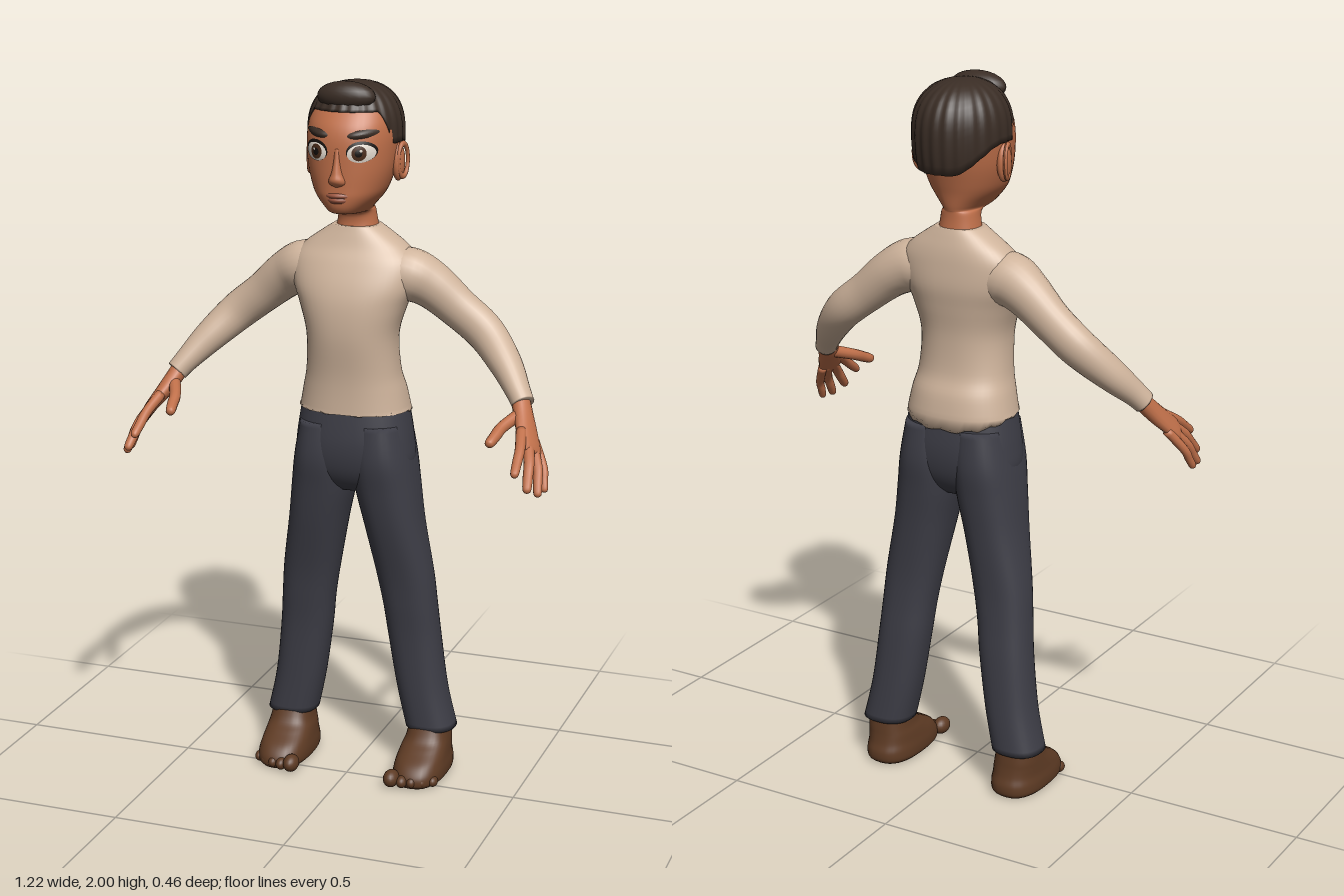
import * as THREE from 'three';

const paint = (name, color) => Object.assign(new THREE.MeshStandardMaterial({ color }), { name });

// Smooth (Catmull-Rom) sample through rows of numbers, t in 0..1
function sample(rows, t) {
  const n = rows.length - 1, f = Math.min(t * n, n - 1e-6), i = Math.floor(f), u = f - i;
  const row = (k) => rows[Math.max(0, Math.min(n, k))];
  const [a, b, c, d] = [row(i - 1), row(i), row(i + 1), row(i + 2)];
  return b.map((v, k) => v + 0.5 * u * (c[k] - a[k] + u * (2 * a[k] - 5 * v + 4 * c[k] - d[k]
    + u * (3 * (v - c[k]) + d[k] - a[k]))));
}

// Skins rings of points and closes both ends
function skin(rings) {
  const pos = [], idx = [], m = rings[0].length, n = rings.length;
  rings.forEach((r) => r.forEach((p) => pos.push(p.x, p.y, p.z)));
  for (let j = 0; j < n - 1; j++) for (let i = 0; i < m; i++) {
    const a = j * m + i, b = j * m + (i + 1) % m;
    idx.push(a, b, b + m, a, b + m, a + m);
  }
  [0, n - 1].forEach((j) => {
    const c = new THREE.Vector3();
    rings[j].forEach((p) => c.addScaledVector(p, 1 / m));
    const k = pos.length / 3;
    pos.push(c.x, c.y, c.z);
    for (let i = 0; i < m; i++) {
      const a = j * m + i, b = j * m + (i + 1) % m;
      j ? idx.push(a, b, k) : idx.push(b, a, k);
    }
  });
  const g = new THREE.BufferGeometry();
  g.setAttribute('position', new THREE.Float32BufferAttribute(pos, 3));
  g.setIndex(idx);
  g.computeVertexNormals();
  return g;
}

const pow = (v, e) => Math.sign(v) * Math.abs(v) ** e;

// Upright body: rows of [y, centre x, half width, front z, back z]
function loft(rows, { n = 2.2, steps = 32, seg = 36, hem = () => 0 } = {}) {
  const rings = [];
  for (let j = 0; j <= steps; j++) {
    const [y, cx, rx, zf, zb] = sample(rows, j / steps);
    rings.push(Array.from({ length: seg }, (_, i) => {
      const a = i / seg * Math.PI * 2;
      return new THREE.Vector3(cx + rx * pow(Math.sin(a), 2 / n),
        y + (j === 0 ? hem(a) : 0), (zf + zb) / 2 + (zf - zb) / 2 * pow(Math.cos(a), 2 / n));
    }));
  }
  return skin(rings);
}

// Limb along a path: rows of [x, y, z, radius along ref, radius across]
function limb(rows, ref = [0, 0, 1], steps = 20, seg = 16) {
  const rings = [], at = (t) => new THREE.Vector3(...sample(rows, t).slice(0, 3));
  for (let j = 0; j <= steps; j++) {
    const t = j / steps, r = sample(rows, t), c = at(t);
    const T = at(Math.min(1, t + 0.01)).sub(at(Math.max(0, t - 0.01))).normalize();
    const N = new THREE.Vector3(...ref);
    N.addScaledVector(T, -N.dot(T)).normalize();
    const B = T.clone().cross(N);
    rings.push(Array.from({ length: seg }, (_, i) => {
      const a = i / seg * Math.PI * 2;
      return c.clone().addScaledVector(N, r[3] * Math.cos(a)).addScaledVector(B, r[4] * Math.sin(a));
    }));
  }
  return skin(rings);
}

const ball = (x, y, z, rx, ry, rz) => new THREE.SphereGeometry(1, 20, 14).scale(rx, ry, rz).translate(x, y, z);

function mirrored(geo) {
  const g = geo.clone().scale(-1, 1, 1), ix = g.index.array;
  for (let i = 0; i < ix.length; i += 3) [ix[i], ix[i + 1]] = [ix[i + 1], ix[i]];
  g.computeVertexNormals();
  return g;
}

const HEAD = [[1.56, 0, .064, -.03, -.148], [1.61, 0, .054, -.037, -.143], [1.638, 0, .05, -.02, -.143],
  [1.646, 0, .05, .052, -.145], [1.66, 0, .062, .072, -.149], [1.69, 0, .088, .079, -.156],
  [1.72, 0, .103, .079, -.165], [1.77, 0, .117, .079, -.18], [1.83, 0, .123, .078, -.195],
  [1.87, 0, .122, .07, -.2], [1.9, 0, .117, .054, -.198], [1.93, 0, .105, .03, -.185],
  [1.96, 0, .08, -.01, -.16], [1.975, 0, .04, -.05, -.12]];

// Front surface of the face at x, y
function faceZ(x, y) {
  let best = null, err = 9;
  for (let t = 0.25; t <= 1; t += 0.002) {
    const s = sample(HEAD, t), e = Math.abs(s[0] - y);
    if (e < err) { err = e; best = s; }
  }
  const [, , rx, zf, zb] = best;
  return (zf + zb) / 2 + (zf - zb) / 2 * (1 - Math.min(1, Math.abs(x / rx)) ** 2.2) ** (1 / 2.2);
}

// Thin oval plate that follows the face
function patch(x, y, w, h, rot, off, dome = 0) {
  const g = new THREE.RingGeometry(0.001, 1, 24, 4).scale(w, h, 1).rotateZ(rot), p = g.attributes.position;
  for (let i = 0; i < p.count; i++) {
    const ring = Math.floor(i / 25) / 4, px = p.getX(i) + x, py = p.getY(i) + y;
    p.setXYZ(i, px, py, faceZ(px, py) + off + dome * (1 - ring * ring));
  }
  g.computeVertexNormals();
  return g;
}

// Ridged cap whose lower edge drops from forehead to nape
function hairCap() {
  const seg = 144, steps = 16, rings = [];
  const mix = THREE.MathUtils.smoothstep;
  for (let j = 0; j <= steps; j++) rings.push(Array.from({ length: seg }, (_, i) => {
    const a = i / seg * Math.PI * 2, b = Math.abs(a > Math.PI ? a - 2 * Math.PI : a);
    const low = 1.918 - 0.088 * mix(b, 0.85, 1.25) - 0.075 * mix(b, 1.7, 2.8);
    const v = Math.max(0, j - 1) / (steps - 1), top = 1.988;
    const h = low + (top - low) * Math.sin(v * Math.PI / 2);
    const d = h - 1.85, k = Math.min(1, Math.abs(d) / (d > 0 ? 0.138 : 0.2));
    let r = (1 - k ** 2.4) ** (1 / 2.4);
    r *= (1 + 0.014 * Math.cos(a * 24) * Math.min(1, r * 2)) * (j === 0 ? 0.86 : 1);
    const c = Math.cos(a);
    return new THREE.Vector3(0.13 * r * Math.sin(a), h, -0.075 + (c > 0 ? 0.135 : 0.152) * r * c);
  }));
  return skin(rings);
}

export function createModel() {
  const model = new THREE.Group();
  const skinTone = paint('skin', 0xc0704a), lip = paint('lips', 0x9a5640), hair = paint('hair', 0x3a2d25);
  const shirt = paint('shirt', 0xcfb49c), denim = paint('trousers', 0x3e3e47), brown = paint('feet', 0x5e3b24);
  const white = paint('eyeWhite', 0xe6ddd2), iris = paint('iris', 0x4a2c1a), black = paint('pupil', 0x15100d);

  const add = (name, geo, mat) => {
    const m = new THREE.Mesh(geo, mat);
    m.name = name;
    model.add(m);
  };
  const pair = (name, geo, mat) => {
    add(name + 'Left', geo, mat);
    add(name + 'Right', mirrored(geo), mat);
  };

  // Head and face
  add('headAndNeck', loft(HEAD, { steps: 60, seg: 48 }), skinTone);
  add('nose', loft([[1.722, 0, .008, .078, .05], [1.73, 0, .022, .09, .05], [1.742, 0, .023, .097, .05],
    [1.76, 0, .016, .093, .05], [1.79, 0, .011, .086, .05], [1.825, 0, .01, .079, .05]], { n: 2, seg: 20 }), skinTone);
  add('upperLip', patch(0, 1.699, .031, .008, 0, .002, .006), lip);
  add('lowerLip', patch(0, 1.687, .026, .009, 0, .002, .007), lip);
  pair('ear', ball(.122, 1.775, -.072, .017, .052, .027).rotateX(0), skinTone);
  pair('earRim', new THREE.TorusGeometry(1, .2, 8, 24).scale(.024, .044, .03).rotateY(Math.PI / 2 - .25)
    .translate(.134, 1.78, -.075), skinTone);
  pair('eyelid', patch(.063, 1.818, .037, .028, .1, .001, .003), black);
  pair('eye', patch(.063, 1.814, .034, .024, .1, .003, .004), white);
  pair('iris', patch(.06, 1.815, .018, .02, 0, .0065, .002), iris);
  pair('pupil', patch(.06, 1.815, .009, .01, 0, .009, .001), black);
  pair('eyeGlint', patch(.066, 1.822, .0035, .0035, 0, .0105), white);
  pair('eyebrow', patch(.064, 1.864, .037, .011, .14, .002, .007), hair);

  // Hair with a raised front
  add('hairCap', hairCap(), hair);
  add('hairFront', ball(0, 1.955, .002, .082, .04, .042), hair);

  // Shirt
  add('shirtBody', loft([[1.075, 0, .158, .042, -.197], [1.14, 0, .145, .041, -.185], [1.2, 0, .132, .044, -.164],
    [1.3, 0, .128, .056, -.159], [1.38, 0, .15, .054, -.168], [1.44, 0, .174, .04, -.175],
    [1.5, 0, .178, .014, -.171], [1.54, 0, .148, -.008, -.165], [1.575, 0, .1, -.022, -.155],
    [1.597, 0, .066, -.03, -.147]], { n: 2.3, seg: 48, steps: 44,
    hem: (a) => .018 * Math.cos(a) - .008 * Math.cos(2 * a) + .004 * Math.cos(14 * a) }), shirt);
  pair('sleeve', limb([[.09, 1.46, -.08, .07, .07], [.15, 1.465, -.085, .073, .075], [.21, 1.438, -.098, .062, .066],
    [.285, 1.378, -.106, .05, .057], [.365, 1.315, -.103, .048, .054], [.435, 1.245, -.06, .046, .045],
    [.485, 1.185, -.012, .036, .034], [.506, 1.157, .008, .033, .031]], [0, 0, 1], 36, 24), shirt);

  // Hands
  const across = [-.037, .035, .05];
  pair('palm', limb([[.492, 1.178, -.008, .026, .024], [.512, 1.135, .028, .031, .024], [.536, 1.093, .07, .038, .02],
    [.554, 1.064, .102, .039, .015], [.559, 1.054, .114, .028, .008]], across), skinTone);
  const fingers = [
    [[.524, 1.105, .085], [.538, 1.072, .145], [.545, 1.018, .225], .014],
    [[.54, 1.085, .08], [.562, 1.04, .14], [.575, .972, .205], .0145],
    [[.548, 1.075, .07], [.58, 1.02, .12], [.595, .952, .168], .0135],
    [[.553, 1.07, .055], [.588, 1.012, .092], [.602, .953, .125], .012],
    [[.505, 1.135, .03], [.474, 1.112, .095], [.457, 1.08, .172], .016]];
  fingers.forEach(([a, b, c, r], i) => {
    const mix = (t) => b.map((v, k) => v + (c[k] - v) * t);
    pair(i < 4 ? 'finger' + (i + 1) : 'thumb', limb([[...a, r * 1.1, r * 1.1], [...b, r, r], [...mix(.5), r * .95, r * .95],
      [...mix(.9), r * .8, r * .8], [...c, r * .2, r * .2]], [1, 0, 0], 18, 12), skinTone);
  });

  // Trousers
  add('hips', loft([[.85, 0, .07, -.02, -.14], [.88, 0, .13, .012, -.17], [.93, 0, .168, .034, -.19],
    [1, 0, .166, .042, -.196], [1.1, 0, .15, .033, -.185]], { n: 2.4 }), denim);
  pair('trouserLeg', loft([[.13, .2125, .0725, -.065, -.205], [.25, .186, .072, -.062, -.198], [.4, .165, .075, -.056, -.188],
    [.5, .154, .077, -.045, -.179], [.6, .14, .081, -.03, -.175], [.75, .113, .083, .004, -.181],
    [.86, .0945, .0875, .025, -.191], [.95, .086, .083, .04, -.2], [1.05, .08, .07, .035, -.192]],
  { n: 2.4, steps: 40 }), denim);

  // Bare feet with toes
  pair('foot', loft([[0, .207, .064, .045, -.2], [.012, .207, .074, .054, -.212], [.035, .207, .075, .05, -.213],
    [.06, .207, .071, .028, -.205], [.085, .208, .067, -.015, -.2], [.11, .21, .062, -.05, -.197],
    [.16, .21, .055, -.075, -.19]], { n: 2.5 }), brown);
  for (let i = 0; i < 5; i++) {
    const r = i ? .0185 - i * .0008 : .025;
    pair('toe' + (i + 1), ball(.153 + i * .027 + (i ? .004 : 0), r + .002, .05 - i * i * .0025, r * .9, r, r * 1.25), brown);
  }
  return model;
}
